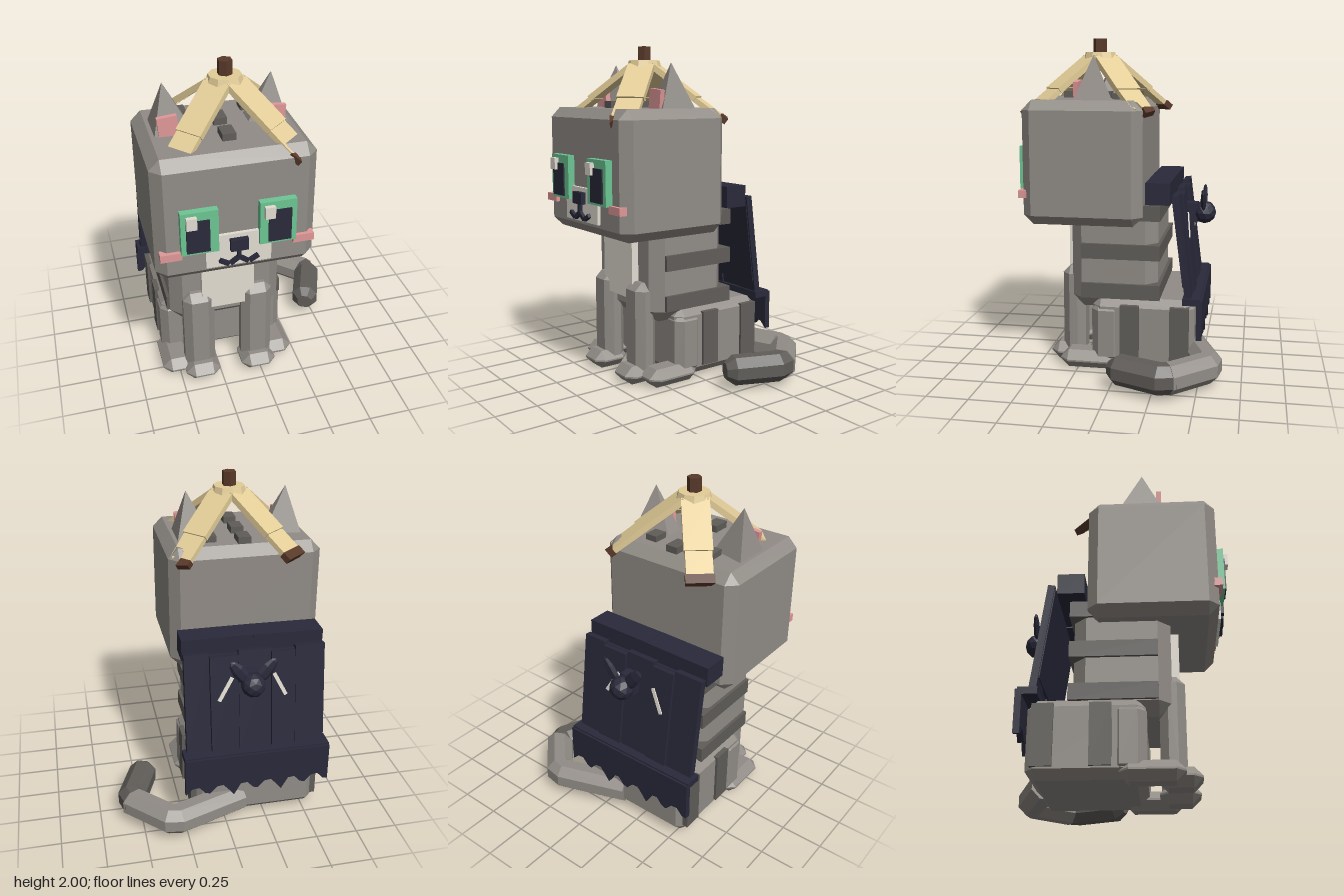
import * as THREE from 'three';
import { ConvexGeometry } from 'three/addons/geometries/ConvexGeometry.js';

const mat = (name, color) => {
  const m = new THREE.MeshStandardMaterial({ color });
  m.name = name;
  m.flatShading = true;
  return m;
};

export function createModel() {
  const fur = mat('grey fur', 0x918c86), dark = mat('dark stripe', 0x605d59);
  const pale = mat('pale fur', 0xe2ddd2), green = mat('eye green', 0x6dc594);
  const navy = mat('navy cloth', 0x29293b), pink = mat('pink', 0xe09898);
  const straw = mat('straw', 0xe3cd98), brown = mat('brown', 0x59392a);
  const CX = -0.19; // middle of the body
  const root = new THREE.Group();
  root.name = 'caped cat';

  const add = (name, geo, material, parent = root) => {
    const m = new THREE.Mesh(geo, material);
    m.name = name;
    parent.add(m);
    return m;
  };
  // plain box given by its limits
  const box = (name, material, x0, x1, y0, y1, z0, z1) => {
    const m = add(name, new THREE.BoxGeometry(x1 - x0, y1 - y0, z1 - z0), material);
    m.position.set((x0 + x1) / 2, (y0 + y1) / 2, (z0 + z1) / 2);
    return m;
  };
  // box with all edges cut by c
  const chamfered = (name, material, x0, x1, y0, y1, z0, z1, c) => {
    const w = (x1 - x0) / 2, h = (y1 - y0) / 2, d = (z1 - z0) / 2, pts = [];
    for (const x of [-1, 1]) for (const y of [-1, 1]) for (const z of [-1, 1]) {
      pts.push(new THREE.Vector3(x * w, y * (h - c), z * (d - c)));
      pts.push(new THREE.Vector3(x * (w - c), y * h, z * (d - c)));
      pts.push(new THREE.Vector3(x * (w - c), y * (h - c), z * d));
    }
    const m = add(name, new ConvexGeometry(pts), material);
    m.position.set((x0 + x1) / 2, (y0 + y1) / 2, (z0 + z1) / 2);
    return m;
  };
  // thin bar between two points facing the front or back
  const bar = (name, material, x0, y0, x1, y1, z, w, t) => {
    const m = add(name, new THREE.BoxGeometry(Math.hypot(x1 - x0, y1 - y0), w, t), material);
    m.position.set((x0 + x1) / 2, (y0 + y1) / 2, z);
    m.rotation.z = Math.atan2(y1 - y0, x1 - x0);
    return m;
  };
  const plate = (pts, depth) => new THREE.ExtrudeGeometry(
    new THREE.Shape(pts.map(p => new THREE.Vector2(...p))), { depth, bevelEnabled: false });

  // head and torso
  chamfered('head', fur, -0.64, 0.26, 0.9, 1.64, -0.15, 0.57, 0.058);
  chamfered('torso', fur, -0.53, 0.15, 0.37, 1.0, -0.23, 0.3, 0.07);
  chamfered('hips', fur, -0.57, 0.19, 0.02, 0.45, -0.46, 0.16, 0.05);
  box('chest patch', pale, -0.35, -0.03, 0.5, 0.92, 0.28, 0.345);
  for (const y of [0.445, 0.69, 0.93]) box('torso stripe', dark, -0.548, 0.168, y, y + 0.093, -0.25, 0.23);
  for (const z of [-0.13, -0.43]) box('hip stripe', dark, -0.585, 0.205, 0.08, 0.415, z, z + 0.115);

  // paired parts, mirrored about the body's middle
  for (const s of [-1, 1]) {
    const side = (fn, name, m, a, b, ...rest) =>
      fn(name, m, CX + Math.min(s * a, s * b), CX + Math.max(s * a, s * b), ...rest);
    side(chamfered, 'front leg', fur, 0.085, 0.275, 0.03, 0.61, 0.23, 0.37, 0.045);
    side(chamfered, 'front paw', fur, 0.07, 0.285, 0, 0.11, 0.22, 0.45, 0.05);
    side(chamfered, 'hind leg', fur, 0.22, 0.39, 0.04, 0.42, -0.02, 0.165, 0.045);
    side(chamfered, 'hind paw', fur, 0.22, 0.415, 0, 0.11, 0.02, 0.36, 0.05);
    side(box, 'eye', green, 0.113, 0.318, 1.1, 1.36, 0.55, 0.612);
    side(box, 'cheek', pink, 0.31, 0.43, 1.062, 1.108, 0.545, 0.592);
    side(box, 'crown side stripe', dark, 0.155, 0.23, 1.6, 1.675, -0.03, 0.06);

    // four-sided ear with an off-centre tip
    const V = (x, y, z) => new THREE.Vector3(CX + s * x, y, z);
    add('ear', new ConvexGeometry([V(0.375, 1.62, 0.025), V(0.375, 1.62, 0.27), V(0.15, 1.62, 0.21),
      V(0.15, 1.62, 0.085), V(0.3, 1.9, 0.155)]), fur);
    const inner = box('inner ear', pink, -0.055, 0.055, 1.63, 1.75, 0.238, 0.268);
    inner.position.x = CX + s * 0.295;
    inner.rotation.z = -s * 0.1;
  }
  for (const z of [-0.09, 0.1, 0.295]) box('crown stripe', dark, -0.225, -0.15, 1.6, 1.68, z, z + 0.107);

  // face
  box('right pupil', navy, -0.48, -0.352, 1.115, 1.31, 0.6, 0.621);
  box('left pupil', navy, -0.03, 0.098, 1.115, 1.31, 0.6, 0.621);
  box('right eye glint', pale, -0.48, -0.423, 1.27, 1.34, 0.6, 0.638);
  box('left eye glint', pale, -0.055, 0.002, 1.27, 1.34, 0.6, 0.638);
  box('muzzle', pale, -0.372, -0.005, 0.98, 1.18, 0.55, 0.59);
  box('nose', navy, -0.24, -0.14, 1.085, 1.155, 0.57, 0.62);
  bar('mouth middle', navy, CX, 1.09, CX, 1.03, 0.597, 0.022, 0.025);
  for (const s of [-1, 1]) {
    bar('mouth inner', navy, CX, 1.035, CX + s * 0.05, 0.998, 0.597, 0.024, 0.025);
    bar('mouth outer', navy, CX + s * 0.058, 0.998, CX + s * 0.108, 1.028, 0.597, 0.024, 0.025);
  }

  // tail: eight-sided loops swept along a bent path
  const sweep = (name, material, rings) => {
    const pos = [], idx = [], N = 8;
    rings.forEach(([x, z, ang, r]) => {
      for (let i = 0; i < N; i++) {
        const a = (i + 0.5) / N * Math.PI * 2, u = Math.cos(a) * r;
        pos.push(x - Math.sin(ang) * u, 0.115 + Math.sin(a) * r, z + Math.cos(ang) * u);
      }
    });
    for (let k = 0; k < rings.length - 1; k++) for (let i = 0; i < N; i++) {
      const a = k * N + i, b = k * N + (i + 1) % N;
      idx.push(a, a + N, b, b, a + N, b + N);
    }
    const e = (rings.length - 1) * N;
    for (let i = 1; i < N - 1; i++) idx.push(0, i, i + 1, e, e + i + 1, e + i);
    const g = new THREE.BufferGeometry();
    g.setAttribute('position', new THREE.Float32BufferAttribute(pos, 3));
    g.setIndex(idx);
    const flat = g.toNonIndexed();
    flat.computeVertexNormals();
    add(name, flat, material);
  };
  sweep('tail', fur, [[-0.1, -0.41, -0.35, 0.09], [0.3, -0.553, -0.2, 0.092],
    [0.35, -0.545, 0.55, 0.092], [0.54, -0.35, 1.1, 0.092]]);
  sweep('tail tip', dark, [[0.535, -0.355, 0.95, 0.09], [0.55, -0.3, 1.75, 0.092],
    [0.452, -0.05, 1.95, 0.09], [0.432, 0.0, 1.95, 0.05]]);

  // straw hat: hub, stem and four ragged sloping arms
  const hat = new THREE.Group();
  hat.name = 'straw hat';
  hat.position.set(-0.15, 0, 0.167);
  root.add(hat);
  add('hat hub', new THREE.CylinderGeometry(0.092, 0.106, 0.05, 10), straw, hat).position.y = 1.893;
  add('hat stem', new THREE.CylinderGeometry(0.042, 0.042, 0.12, 6), brown, hat).position.y = 1.94;
  const W = 0.08;
  const ends = [
    { dx: -0.315, dz: -0.367, end: [[0.48, W], [0.48, -W]], tip: [[0.47, W], [0.525, W], [0.525, -W], [0.47, -W]] },
    { dx: 0.355, dz: -0.31, end: [[0.49, 0.07], [0.51, 0.045], [0.44, 0.03], [0.45, 0], [0.5, -0.01], [0.5, -W]],
      tip: [[0.495, -0.01], [0.55, -0.005], [0.53, -W], [0.495, -W]] },
    { dx: 0.29, dz: 0.32, end: [[0.48, W], [0.54, 0.055], [0.45, 0.03], [0.46, -0.02], [0.43, -0.03], [0.43, -W]],
      tip: [[0.49, W], [0.56, 0.065], [0.51, 0.03]] },
    { dx: -0.31, dz: 0.265, end: [[0.44, W], [0.44, -W]] },
  ];
  const flatPlate = (pts, depth) => plate(pts, depth).rotateX(Math.PI / 2);
  for (const { dx, dz, end, tip } of ends) {
    const arm = new THREE.Group(), slope = new THREE.Group();
    arm.name = 'hat arm';
    arm.rotation.y = Math.atan2(-dz, dx);
    slope.position.set(0.07, 1.902, 0);
    slope.rotation.z = -0.635;
    arm.add(slope);
    hat.add(arm);
    add('inner straw', flatPlate([[0, -W], [0.33, -W], [0.33, W], [0, W]], 0.035), straw, slope);
    const outer = [[0.3, W - 0.006], ...end.map(([u, v]) => [u, v * 0.92]), [0.3, 0.006 - W]];
    add('outer straw', flatPlate(outer, 0.03), straw, slope).position.y = -0.008;
    if (tip) add('burnt tip', flatPlate(tip, 0.038), brown, slope).position.y = -0.004;
  }

  // cape: collar, leaning panels, ragged hem
  box('collar right', navy, -0.61, CX, 1.045, 1.165, -0.315, -0.165).rotation.z = 0.012;
  box('collar left', navy, CX, 0.23, 1.04, 1.17, -0.315, -0.17);
  const edges = [-0.61, -0.43, -0.285, -0.09, 0.08, 0.23];
  for (let i = 0; i < 5; i++) {
    const p = box('cape panel', navy, edges[i] + 0.002, edges[i + 1] - 0.002, 0.47, 1.1 - (i % 2) * 0.02, -0.02, 0.02);
    p.position.z = -0.388 - (i % 2) * 0.01;
    p.rotation.x = 0.13;
  }
  box('cape backing', navy, -0.6, 0.22, 0.55, 1.08, -0.378, -0.358).rotation.x = 0.13;
  box('hem band', navy, -0.63, 0.25, 0.45, 0.49, -0.5, -0.395);
  const hem = [[0.25, 0.48], [-0.63, 0.48], [-0.63, 0.24]];
  for (let i = 0; i < 6; i++) {
    const x = -0.63 + i * 0.1467, low = i % 2 ? 0.205 : 0.235;
    hem.push([x + 0.03, 0.245], [x + 0.065, 0.285], [x + 0.105, 0.28], [x + 0.1467, i === 5 ? 0.24 : low]);
  }
  add('ragged hem', plate(hem, 0.035), navy).position.z = -0.512;
  bar('right cape slash', pale, -0.37, 0.81, -0.3, 0.95, -0.404, 0.022, 0.014).rotation.x = 0.13;
  bar('left cape slash', pale, 0.03, 0.81, -0.05, 0.95, -0.404, 0.022, 0.014).rotation.x = 0.13;

  // brooch: ball with two leaf-like wings
  add('brooch ball', new THREE.IcosahedronGeometry(0.072, 1), navy).position.set(-0.15, 0.94, -0.49);
  box('brooch mount', navy, -0.195, -0.105, 0.88, 1.0, -0.45, -0.38);
  for (const s of [-1, 1]) {
    const wing = add('brooch wing', new THREE.SphereGeometry(1, 6, 5), navy);
    wing.scale.set(0.04, 0.095, 0.018);
    wing.position.set(-0.15 + s * 0.075, 1.02, -0.487);
    wing.rotation.z = -s * 0.65;
  }
  return root;
}
